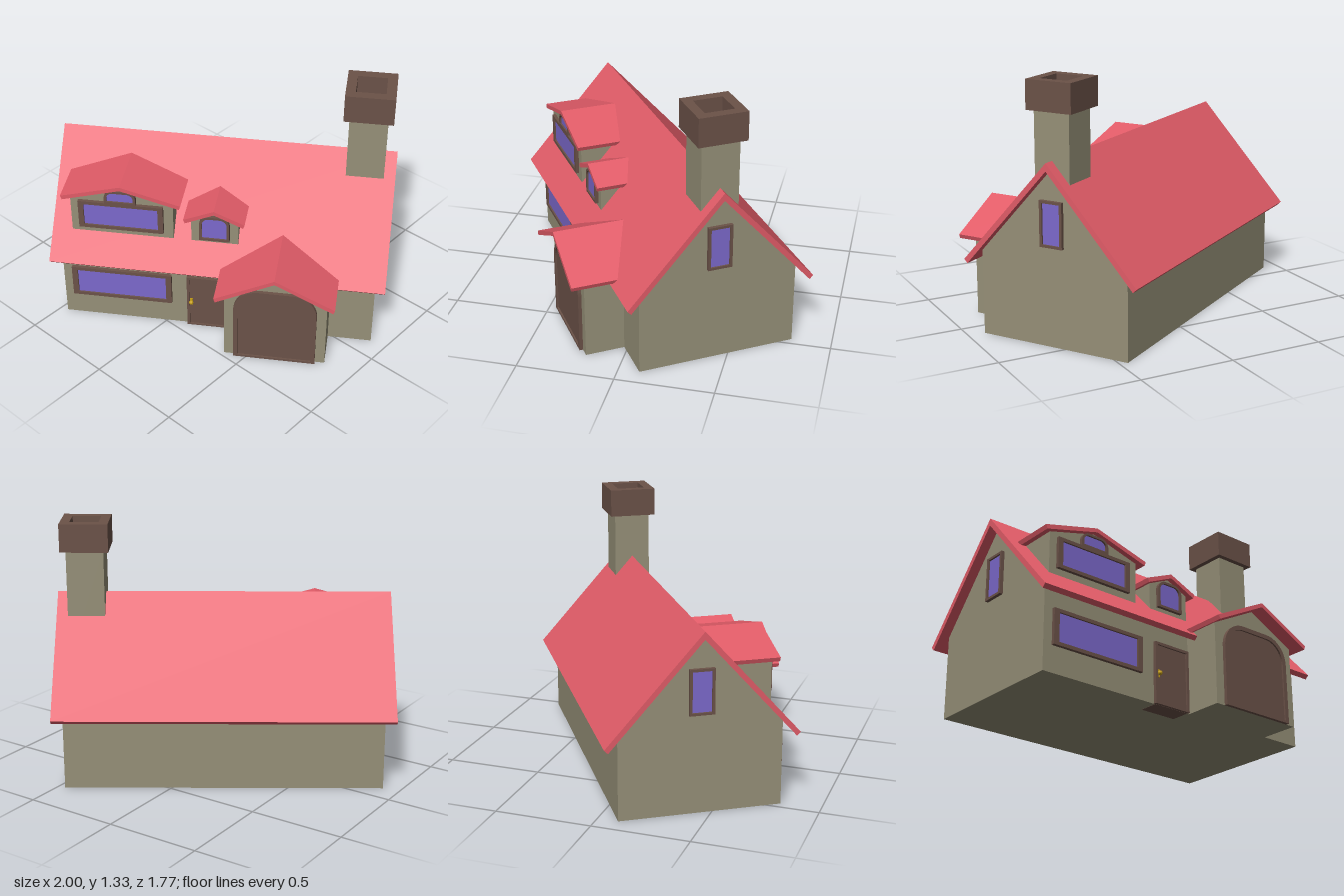
import * as THREE from 'three';

const mat = (color) => new THREE.MeshStandardMaterial({ color, flatShading: true });
const roofMat = mat(0xe25c68), wallMat = mat(0x969078), woodMat = mat(0x6b5248);
const glassMat = mat(0x7c69cc), goldMat = mat(0xc8a018);

const SLOPE = 1.119; // pitch of the main roof

function polygon(points) {
  return new THREE.Shape(points.map(([x, y]) => new THREE.Vector2(x, y)));
}

function extrude(name, shape, depth, material) {
  const geo = new THREE.ExtrudeGeometry(shape, { depth, bevelEnabled: false, curveSegments: 6 });
  const mesh = new THREE.Mesh(geo, material);
  mesh.name = name;
  return mesh;
}

function box(name, w, h, d, x, y, z, material) {
  const mesh = new THREE.Mesh(new THREE.BoxGeometry(w, h, d), material);
  mesh.name = name;
  mesh.position.set(x, y, z);
  return mesh;
}

// Rectangle centred on x, standing on y0, with top corners rounded by r
function archPath(Type, half, y0, y1, r) {
  const p = new Type();
  p.moveTo(-half, y0);
  p.lineTo(half, y0);
  p.lineTo(half, y1 - r);
  if (r > 0) p.absarc(half - r, y1 - r, r, 0, Math.PI / 2, false);
  else p.lineTo(half, y1);
  p.lineTo(-half + r, y1);
  if (r > 0) p.absarc(-half + r, y1 - r, r, Math.PI / 2, Math.PI, false);
  p.lineTo(-half, y0);
  return p;
}

// Raised frame with a recessed panel, facing +z with its back on z = 0
function framed(name, half, y0, y1, { r = 0, side = 0.02, edge = 0.018, sill = edge, panel = glassMat, depth = 0.018 } = {}) {
  const g = new THREE.Group();
  g.name = name;
  const outer = archPath(THREE.Shape, half, y0, y1, r);
  const inner = [half - side, y0 + sill, y1 - edge, Math.max(0, r - side)];
  outer.holes.push(archPath(THREE.Path, ...inner));
  g.add(extrude(name + 'Frame', outer, depth, woodMat));
  g.add(extrude(name + 'Panel', archPath(THREE.Shape, ...inner), depth * 0.5, panel));
  return g;
}

function at(object, x, z, turn = 0) {
  object.position.set(x, 0, z);
  object.rotation.y = turn;
  return object;
}

// Gabled projection: solid body below a thin two-sided roof
function gable(name, o) {
  const g = new THREE.Group();
  g.name = name;
  const drop = (o.ridge - o.eave) / o.roofHalf, t = 0.022;
  const under = o.ridge - t;
  const body = polygon([
    [-o.half, o.base], [o.half, o.base],
    [o.half, under - drop * o.half], [0, under], [-o.half, under - drop * o.half],
  ]);
  const bodyMesh = extrude(name + 'Walls', body, o.front - o.back, wallMat);
  bodyMesh.position.z = o.back;
  const cover = polygon([
    [0, o.ridge], [-o.roofHalf, o.eave], [-o.roofHalf + 0.008, o.eave - t], [0, under],
    [o.roofHalf - 0.008, o.eave - t], [o.roofHalf, o.eave],
  ]);
  const roof = extrude(name + 'Roof', cover, o.roofFront - o.back, roofMat);
  roof.position.z = o.back;
  g.add(bodyMesh, roof);
  g.position.x = o.x;
  return g;
}

export function createModel() {
  const model = new THREE.Group();
  model.name = 'cottage';
  const house = new THREE.Group();
  house.name = 'house';
  house.rotation.y = 0.5815; // the house stands diagonally
  model.add(house);

  // Main walls with gable ends
  const W = 0.412, L = 0.822, wallTop = 0.9 - SLOPE * W;
  const walls = extrude('mainWalls',
    polygon([[-W, 0], [W, 0], [W, wallTop], [0, 0.9], [-W, wallTop]]), 2 * L, wallMat);
  house.add(at(walls, -L, 0, Math.PI / 2));

  // Main roof
  const roof = extrude('mainRoof', polygon([
    [0, 0.94], [-0.487, 0.395], [-0.468, 0.376], [0, 0.9], [0.468, 0.376], [0.487, 0.395],
  ]), 1.748, roofMat);
  house.add(at(roof, -0.874, 0, Math.PI / 2));

  // Chimney with a hollow cap
  house.add(box('chimneyStack', 0.194, 0.6, 0.194, 0.718, 0.885, 0, wallMat));
  const capShape = archPath(THREE.Shape, 0.125, -0.125, 0.125, 0);
  capShape.holes.push(archPath(THREE.Path, 0.075, -0.075, 0.075, 0));
  const cap = extrude('chimneyCap', capShape, 0.148, woodMat);
  cap.rotation.x = -Math.PI / 2;
  cap.position.set(0.718, 1.178, 0);
  house.add(cap);

  // Large dormer
  const large = gable('largeDormer', {
    x: -0.5, half: 0.268, base: 0.52, back: 0.05, front: 0.366,
    roofHalf: 0.312, ridge: 0.847, eave: 0.762, roofFront: 0.395,
  });
  large.add(at(framed('dormerWindow', 0.222, 0.565, 0.73, { side: 0.028 }), -0.004, 0.366));
  large.add(at(framed('dormerVent', 0.082, 0.73, 0.808, { r: 0.045, side: 0.013, edge: 0.012 }), -0.004, 0.366));
  house.add(large);

  // Small dormer
  const small = gable('smallDormer', {
    x: -0.017, half: 0.122, base: 0.52, back: 0.12, front: 0.366,
    roofHalf: 0.158, ridge: 0.748, eave: 0.68, roofFront: 0.395,
  });
  small.add(at(framed('smallDormerWindow', 0.078, 0.55, 0.7, { r: 0.05, side: 0.014, edge: 0.013 }), 0, 0.366));
  house.add(small);

  // Porch with its wide arched door
  const porch = gable('porch', {
    x: 0.331, half: 0.263, base: 0, back: 0.3, front: 0.615,
    roofHalf: 0.305, ridge: 0.582, eave: 0.43, roofFront: 0.69,
  });
  porch.add(at(framed('archedDoor', 0.213, 0, 0.448,
    { r: 0.13, side: 0.022, edge: 0.022, sill: 0.012, panel: woodMat }), 0, 0.615));
  house.add(porch);

  // Front door and knob
  house.add(box('doorCore', 0.205, 0.3, 0.1, -0.05, 0.149, W - 0.046, woodMat));
  house.add(at(framed('frontDoor', 0.108, 0, 0.325,
    { side: 0.014, edge: 0.014, sill: 0.008, panel: woodMat }), -0.05, W));
  const knob = new THREE.Mesh(new THREE.SphereGeometry(0.012, 8, 6), goldMat);
  knob.name = 'doorKnob';
  knob.position.set(-0.135, 0.16, W + 0.022);
  house.add(knob, box('knobPlate', 0.014, 0.04, 0.006, -0.135, 0.16, W + 0.011, goldMat));

  // Ground floor window
  house.add(at(framed('frontWindow', 0.267, 0.137, 0.322, { side: 0.03 }), -0.507, W));

  // Narrow windows in both gable ends
  for (const [name, s] of [['leftGableWindow', 1], ['rightGableWindow', -1]]) {
    house.add(at(framed(name, 0.063, 0.512, 0.745, { side: 0.014, edge: 0.013 }), s * L, 0, s * Math.PI / 2));
  }
  return model;
}
